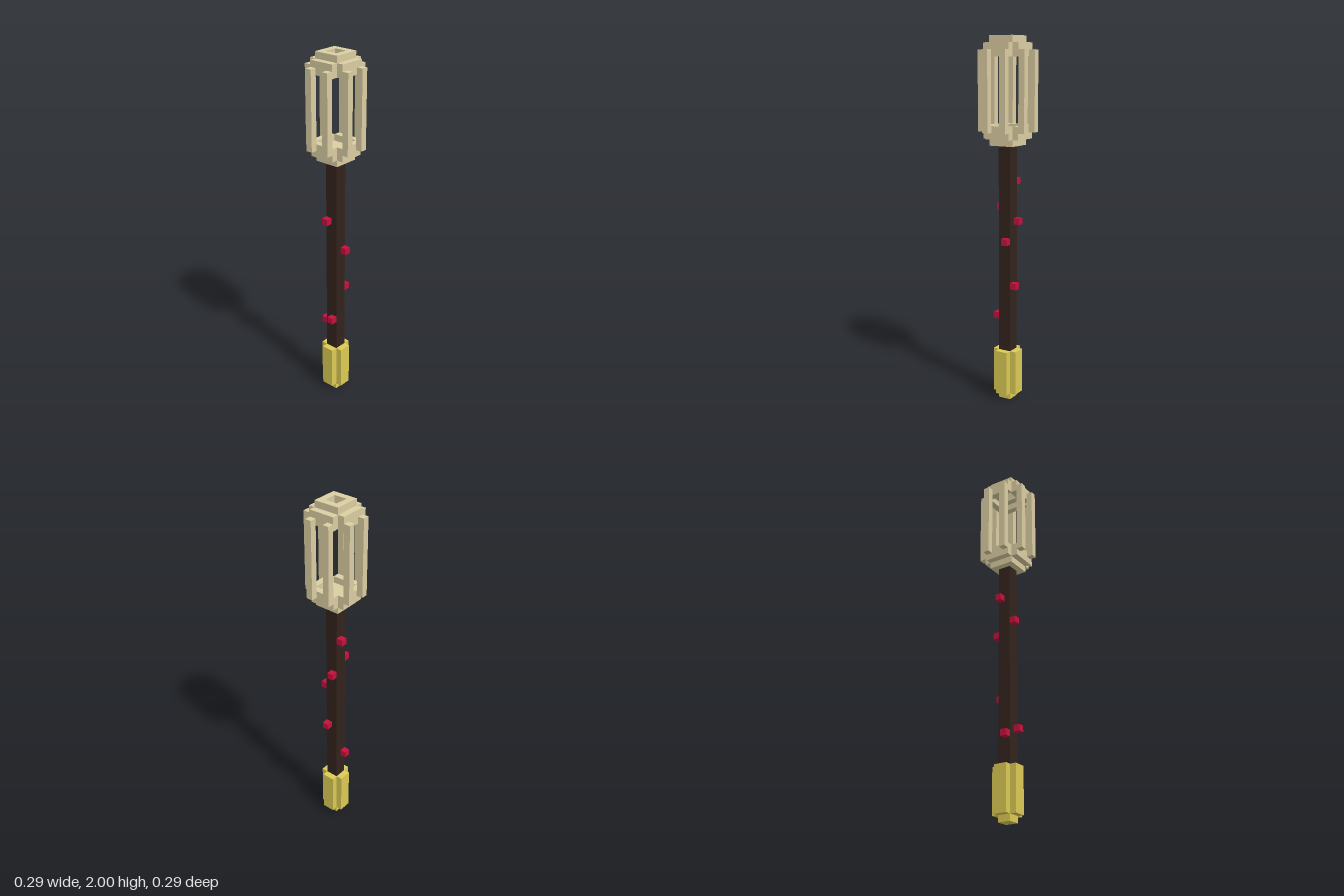
import * as THREE from 'three';

const U = 2 / 56; // one block

const mat = (color) => new THREE.MeshStandardMaterial({ color });

export function createModel() {
  const model = new THREE.Group();
  const tan = mat(0xdbcea2), wood = mat(0x33231d), red = mat(0xc4103c), gold = mat(0xdccb55);

  // box from minimum to maximum corner, in blocks
  function box(parent, name, material, [x0, y0, z0], [x1, y1, z1]) {
    const g = new THREE.BoxGeometry((x1 - x0) * U, (y1 - y0) * U, (z1 - z0) * U);
    const m = new THREE.Mesh(g, material);
    m.position.set((x0 + x1) / 2 * U, (y0 + y1) / 2 * U, (z0 + z1) / 2 * U);
    m.name = name;
    parent.add(m);
    return m;
  }

  function group(name) {
    const g = new THREE.Group();
    g.name = name;
    model.add(g);
    return g;
  }

  // shaft
  box(model, 'shaft', wood, [-1, 8, -1], [1, 40, 1]);

  // grip: core with a pad on each side
  const grip = group('grip');
  box(grip, 'gripCore', gold, [-1, 0, -1], [1, 8, 1]);

  // cage head: solid base, open cap, rims and upright bars
  const cage = group('cage');
  box(cage, 'cageBase', tan, [-2, 40, -2], [2, 42, 2]);
  const ring = new THREE.Shape();
  ring.moveTo(-2 * U, -2 * U).lineTo(2 * U, -2 * U).lineTo(2 * U, 2 * U).lineTo(-2 * U, 2 * U).closePath();
  const hole = new THREE.Path();
  hole.moveTo(-U, -U).lineTo(-U, U).lineTo(U, U).lineTo(U, -U).closePath();
  ring.holes.push(hole);
  const capGeo = new THREE.ExtrudeGeometry(ring, { depth: 2 * U, bevelEnabled: false });
  capGeo.rotateX(-Math.PI / 2);
  const cap = new THREE.Mesh(capGeo, tan);
  cap.name = 'cageCap';
  cap.position.y = 54 * U;
  cage.add(cap);

  // the same set of pieces on all four sides
  for (let i = 0; i < 4; i++) {
    const gripSide = new THREE.Group();
    gripSide.name = 'gripSide';
    box(gripSide, 'gripPad', gold, [-1, 1, 1], [1, 8, 2]);
    grip.add(gripSide);

    const cageSide = new THREE.Group();
    cageSide.name = 'cageSide';
    box(cageSide, 'lowerRim', tan, [-2, 41, 2], [2, 43, 3]);
    box(cageSide, 'upperRim', tan, [-2, 53, 2], [2, 55, 3]);
    for (const x of [-2, 1]) box(cageSide, 'cageBar', tan, [x, 42, 3], [x + 1, 54, 4]);
    cage.add(cageSide);

    gripSide.rotation.y = cageSide.rotation.y = i * Math.PI / 2;
  }

  // thorns scattered over the shaft
  const thorns = group('thorns');
  const corners = [
    [-2, 30, -1], [1, 28, -1], [0, 25, 1], [1, 18, 0],
    [-2, 13, 0], [0, 34, -2], [-1, 12, -2],
  ];
  for (const [x, y, z] of corners) box(thorns, 'thorn', red, [x, y, z], [x + 1, y + 1, z + 1]);

  return model;
}
